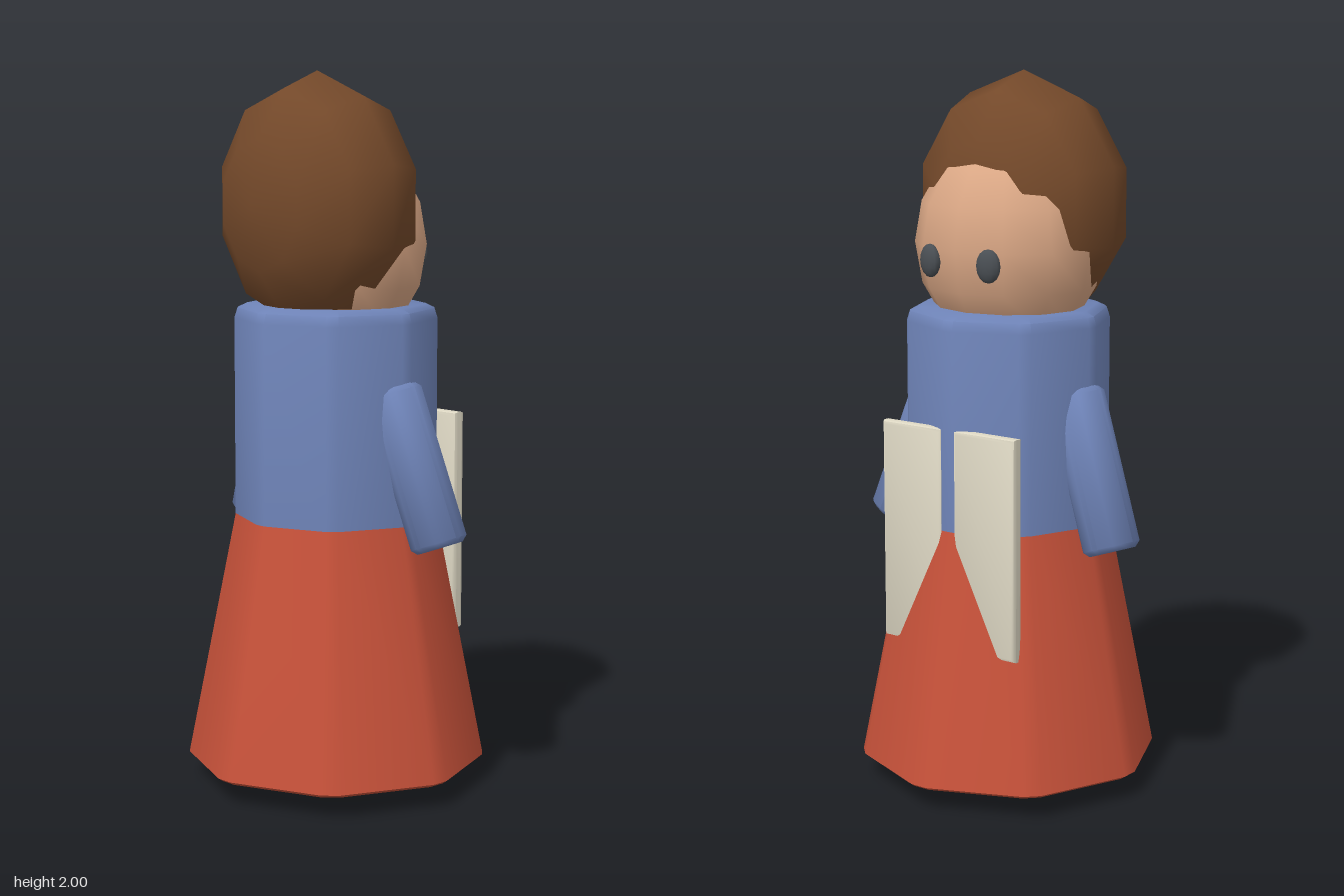
import * as THREE from 'three';
import { toCreasedNormals } from 'three/addons/utils/BufferGeometryUtils.js';

const mat = (color) => new THREE.MeshStandardMaterial({ color });
const red = mat(0xc8523a), blue = mat(0x6e83b7), brown = mat(0x74492a);
const skin = mat(0xdaa785), dark = mat(0x4a4f54), paper = mat(0xded8c4), grey = mat(0xcccccc);

// Eight-sided turned solid with softened corners; profile is [radius, y] from bottom to top
function octagonSolid(profile, soften = 0.06) {
  const geo = new THREE.LatheGeometry(profile.map(([r, y]) => new THREE.Vector2(r, y)), 16);
  const pos = geo.attributes.position;
  const half = Math.PI / 8, n = profile.length;
  const scale = Math.cos(half) / Math.cos(half - soften);
  for (let i = 0; i <= 16; i++) {
    const a = Math.floor(i / 2) * Math.PI / 4 + (i % 2 ? soften : -soften);
    for (let j = 0; j < n; j++) {
      const r = profile[j][0] * scale;
      pos.setXYZ(i * n + j, r * Math.sin(a), profile[j][1], r * Math.cos(a));
    }
  }
  return toCreasedNormals(geo, 0.85);
}

// Octagonal rod with bevelled ends
const rod = (r, y0, y1, b) =>
  octagonSolid([[0, y0], [r - b, y0], [r, y0 + b], [r, y1 - b], [r - b, y1], [0, y1]], 0.1);

function part(parent, name, geometry, material, x = 0, y = 0, z = 0) {
  const mesh = new THREE.Mesh(geometry, material);
  mesh.name = name;
  mesh.position.set(x, y, z);
  parent.add(mesh);
  return mesh;
}

export function createModel() {
  const model = new THREE.Group();
  model.name = 'robedFigure';

  // Skirt runs up inside the torso so the seam is their intersection
  part(model, 'skirt', octagonSolid([[0, 0.06], [0.415, 0.06], [0.43, 0.07], [0.29, 0.765], [0.26, 0.9], [0, 0.9]]), red);
  part(model, 'torso', octagonSolid([[0, 0.7], [0.29, 0.7], [0.29, 1.32], [0.281, 1.348], [0.255, 1.36], [0, 1.36]]), blue);

  // Head, turned so a corner of the ball points to the face side
  const head = new THREE.SphereGeometry(1, 12, 8);
  head.rotateY(Math.PI / 2);
  head.scale(0.27, 0.3, 0.245);
  part(model, 'head', head, skin, 0, 1.53, 0);

  // Hair: coarse ball with its poles along z
  const hair = new THREE.SphereGeometry(1, 10, 6);
  hair.rotateY(Math.PI / 2);
  hair.rotateX(Math.PI / 2);
  hair.scale(0.315, 0.36, 0.245);
  part(model, 'hair', hair, brown, 0, 1.64, 0.07);

  // Page thickness outline, extruded with a small bevel
  const page = new THREE.Shape();
  page.moveTo(-0.093, -0.3).lineTo(0.093, -0.3).lineTo(0.093, 0.3).lineTo(-0.093, 0.3).closePath();
  const pageGeo = toCreasedNormals(new THREE.ExtrudeGeometry(page, {
    depth: 0.016, bevelEnabled: true, bevelSize: 0.01, bevelThickness: 0.011, bevelSegments: 2,
  }).translate(0, 0, -0.008), 0.6);

  for (const s of [1, -1]) {
    part(model, 'foot', rod(0.1, 0, 0.12, 0.012), grey, s * 0.13, 0, 0);

    // Arm hangs outward and slightly toward the face side
    const top = new THREE.Vector3(s * 0.225, 1.14, 0);
    const hand = new THREE.Vector3(s * 0.378, 0.715, -0.036);
    const axis = top.clone().sub(hand);
    const arm = part(model, 'arm', rod(0.082, 0, axis.length(), 0.015), blue, hand.x, hand.y, hand.z);
    arm.quaternion.setFromUnitVectors(new THREE.Vector3(0, 1, 0), axis.normalize());

    part(model, 'bookPage', pageGeo, paper, s * 0.123, 0.74, -0.266);

    // Eye: flattened bead following the face
    const eye = part(model, 'eye', new THREE.SphereGeometry(1, 12, 8), dark, s * 0.098, 1.498, -0.226);
    eye.scale.set(0.036, 0.046, 0.02);
    eye.rotation.y = -s * 0.2;
  }
  return model;
}
